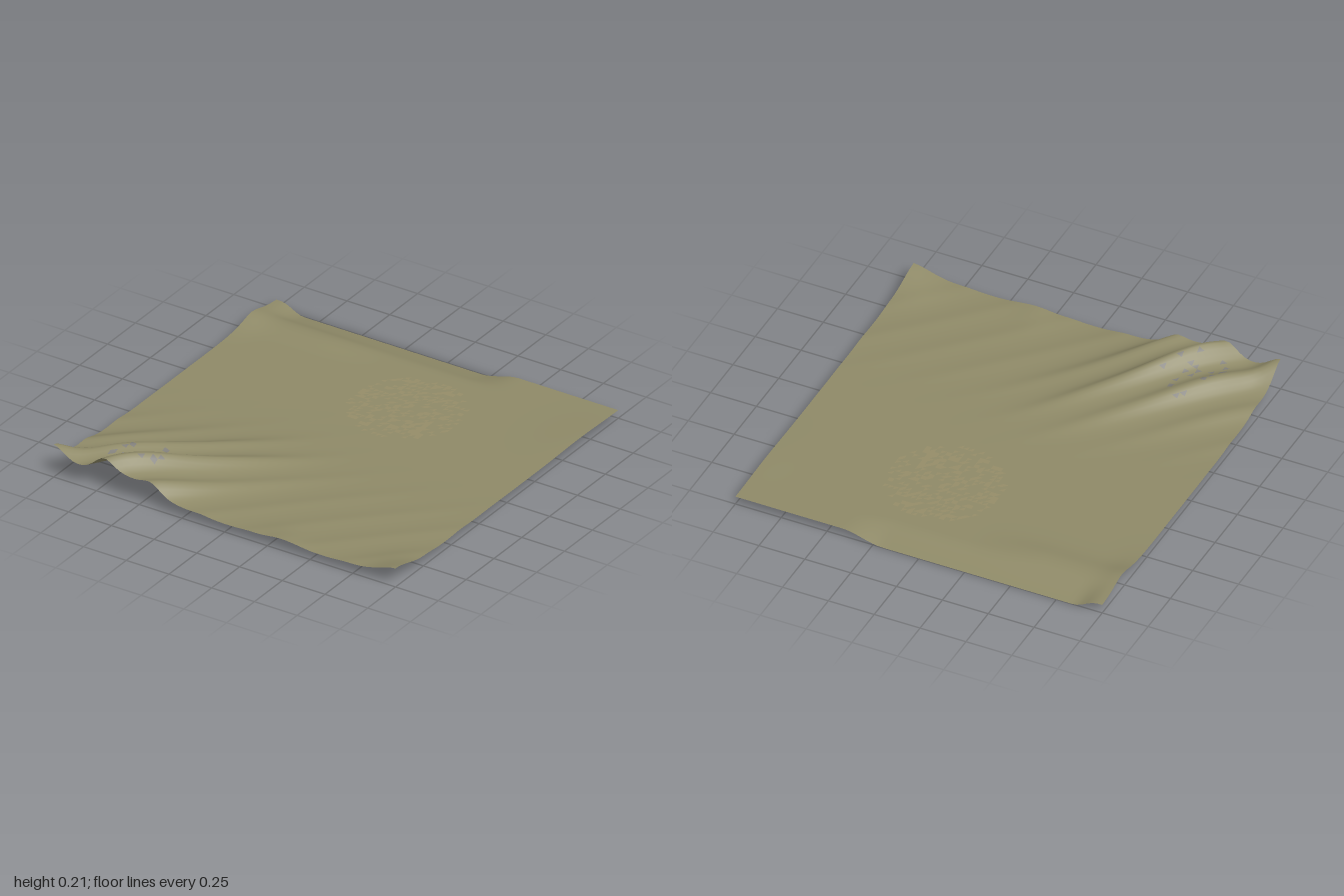
import * as THREE from 'three';

const BASE = 0.045;
const gauss = (d, sigma) => Math.exp(-0.5 * (d / sigma) ** 2);
const smooth = THREE.MathUtils.smoothstep;

// Wind ridges run diagonally: s goes across them, v along them.
// The phase is skewed so the flank facing +s is the steeper one.
function ripple(s) {
  const p = (2 * Math.PI * s) / 0.29;
  return Math.cos(p + 0.35 * Math.sin(p));
}

function height(x, z) {
  const s = x + z, v = x - z;
  const wave = ripple(s - 0.04 * gauss(v + 1.5, 0.6) + 0.04);

  // Main hill in the front right corner and its long low tail
  const across = s < 0.35 ? gauss(s - 0.35, 0.36) : gauss(s - 0.35, 0.22);
  const hill = 0.155 * across * gauss(v + 1.55, 0.38);
  const tail = 0.045 * gauss(s - 0.2, 0.24) * gauss(v + 0.8, 0.34);
  const corner = 0.09 * gauss(x + 1.02, 0.08) * gauss(z - 1.02, 0.1);
  let y = (hill + tail) * (0.84 + 0.2 * wave) + corner;

  // Small rises on the front edge and in the front left corner
  y += 0.018 * gauss(x - 0.32, 0.07) * gauss(z - 1, 0.08);
  y += 0.055 * gauss(x - 1.02, 0.12) * gauss(z - 1.0, 0.13);

  // Faint ripples over the front half
  y += 0.0025 * (1 + wave) * smooth(z, 0, 0.6);

  // Low bank in front of the ditch, highest at the right edge
  y += 0.018 * gauss(z + 0.78, 0.06) * (1 - smooth(x, -0.6, -0.2));
  y += 0.024 * gauss(x + 1.02, 0.07) * gauss(z + 0.78, 0.12);
  y += 0.007 * gauss(x - 1, 0.12) * gauss(z + 0.65, 0.15);

  // Ditch along the back edge
  const ditch = smooth(x, -0.97, -0.84) * (1 - smooth(x, 0.2, 0.42));
  y += BASE;
  return THREE.MathUtils.lerp(y, 0, ditch * THREE.MathUtils.clamp((-0.85 - z) / 0.15, 0, 1) ** 0.9);
}

// Repeatable scatter value for a triangle
function hash(n) {
  const h = Math.sin(n * 127.1 + 11.7) * 43758.5453;
  return h - Math.floor(h);
}

export function createModel() {
  const N = 72;
  const ground = new THREE.PlaneGeometry(2, 2, N, N).rotateX(-Math.PI / 2);
  const pos = ground.attributes.position;
  for (let i = 0; i < pos.count; i++) pos.setY(i, height(pos.getX(i), pos.getZ(i)));
  ground.computeVertexNormals();

  // Sort the triangles into sand, dry patches and bare rock
  const faces = { sand: [], drySand: [], bareRock: [] };
  const index = ground.index.array;
  for (let t = 0; t < index.length; t += 3) {
    const tri = [index[t], index[t + 1], index[t + 2]];
    const x = tri.reduce((sum, i) => sum + pos.getX(i), 0) / 3;
    const z = tri.reduce((sum, i) => sum + pos.getZ(i), 0) / 3;
    const r = hash(t / 3);
    const dry = Math.hypot(x - 0.12, z + 0.45) < 0.3 && r < 0.4;
    const rock = Math.hypot((x + 0.64) / 0.16, (z - 0.77) / 0.18) < 1 && r < 0.14;
    faces[rock ? 'bareRock' : dry ? 'drySand' : 'sand'].push(...tri);
  }

  const colors = { sand: 0x8e8967, drySand: 0x958c68, bareRock: 0x7f7d78 };
  const group = new THREE.Group();
  group.name = 'terrain';
  for (const name in faces) {
    const geometry = new THREE.BufferGeometry();
    geometry.setAttribute('position', pos);
    geometry.setAttribute('normal', ground.attributes.normal);
    geometry.setIndex(faces[name]);
    const mesh = new THREE.Mesh(
      geometry,
      new THREE.MeshStandardMaterial({ color: colors[name], side: THREE.DoubleSide })
    );
    mesh.name = name;
    group.add(mesh);
  }
  return group;
}
